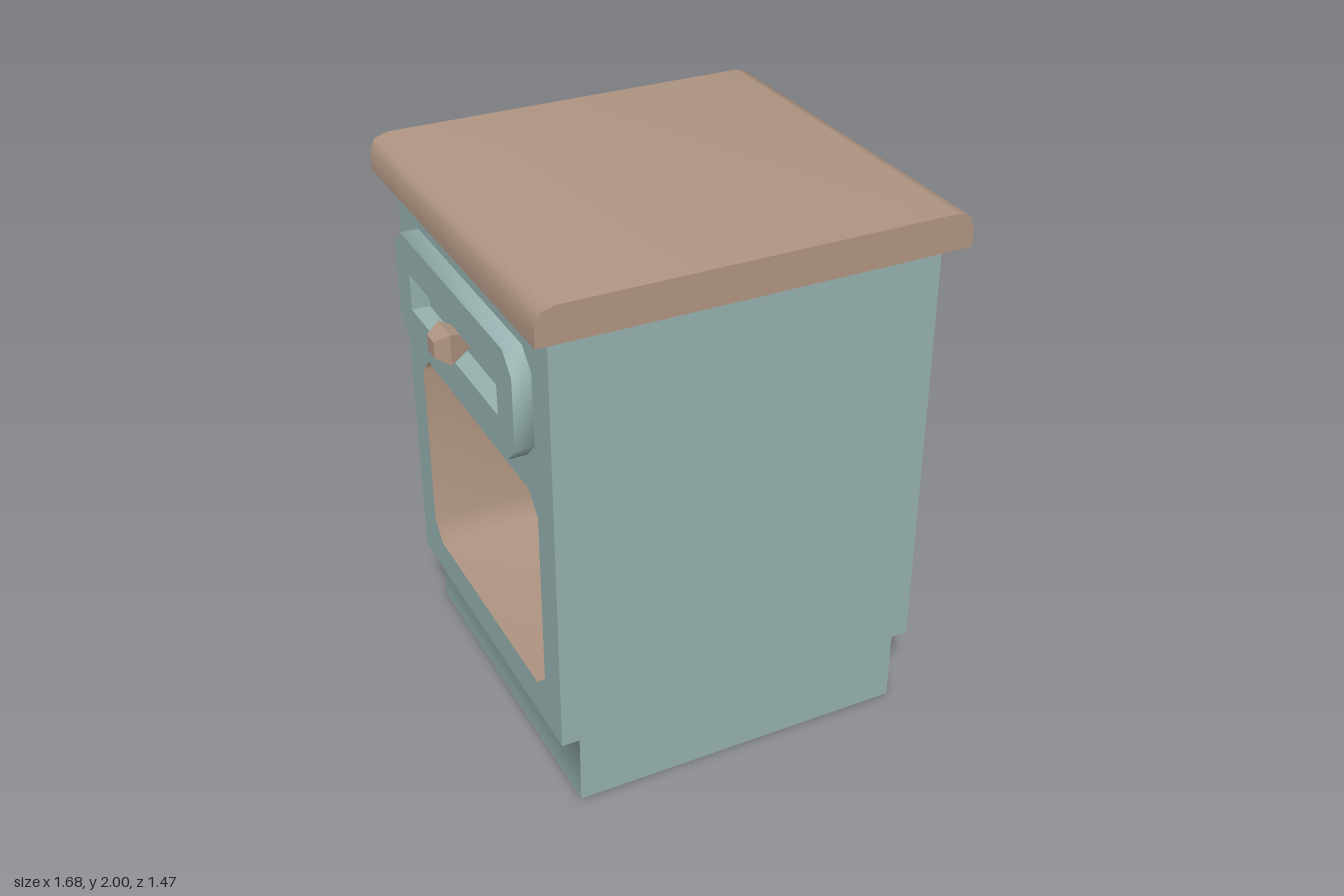
import * as THREE from 'three';
import { toCreasedNormals } from 'three/addons/utils/BufferGeometryUtils.js';

const paint = new THREE.MeshStandardMaterial({ color: 0x95b1af });
paint.name = 'sage paint';
const wood = new THREE.MeshStandardMaterial({ color: 0xb09582 });
wood.name = 'brown wood';

const HALF_X = 0.7, HALF_Z = 0.667, STEP_Y = 0.27, BODY_TOP = 1.87, BASE_X = 0.635;
const CUBBY_BACK = 0.17, DRAWER_FACE = 0.767;

const toVectors = (points) => points.map(([x, y]) => new THREE.Vector2(x, y));
const rectangle = (w, y0, y1) => [[-w, y0], [w, y0], [w, y1], [-w, y1]];

// Rectangle with cut corners, counter-clockwise
const cutRectangle = (w, y0, y1, c) => [
  [-w + c, y0], [w - c, y0], [w, y0 + c], [w, y1 - c],
  [w - c, y1], [-w + c, y1], [-w, y1 - c], [-w, y0 + c],
];

function makeShape(points, hole) {
  const shape = new THREE.Shape(toVectors(points));
  if (hole) shape.holes.push(new THREE.Path(toVectors(hole)));
  return shape;
}

function addMesh(parent, name, geometry, material, z = 0) {
  const mesh = new THREE.Mesh(geometry, material);
  mesh.name = name;
  mesh.position.z = z;
  parent.add(mesh);
  return mesh;
}

// Extrusion with smooth bends and sharp right angles
function extrude(shape, depth) {
  return toCreasedNormals(new THREE.ExtrudeGeometry(shape, { depth, bevelEnabled: false }), Math.PI / 3);
}

// Smooth strip swept along z; faces outward for z0 < z1 and inward otherwise
function ribbon(points, z0, z1, closed) {
  const positions = [], index = [], n = points.length;
  for (const [x, y] of points) positions.push(x, y, z0, x, y, z1);
  for (let i = 0; i < (closed ? n : n - 1); i++) {
    const a = 2 * i, b = 2 * ((i + 1) % n);
    index.push(a, b, b + 1, a, b + 1, a + 1);
  }
  const geometry = new THREE.BufferGeometry();
  geometry.setAttribute('position', new THREE.Float32BufferAttribute(positions, 3));
  geometry.setIndex(index);
  geometry.computeVertexNormals();
  return geometry;
}

// One drawer side, built facing +z
function makeSide(name) {
  const side = new THREE.Group();
  side.name = name;

  // Panel and open cubby
  const opening = cutRectangle(0.535, 0.4, 1.207, 0.07);
  const panel = makeShape(rectangle(HALF_Z, STEP_Y, BODY_TOP), opening);
  addMesh(side, 'sidePanel', new THREE.ShapeGeometry(panel), paint, HALF_X);
  addMesh(side, 'cubbyWalls', ribbon(opening, HALF_X, CUBBY_BACK, true), wood);
  addMesh(side, 'cubbyBack', new THREE.ShapeGeometry(makeShape(opening)), wood, CUBBY_BACK);

  // Drawer front with a recessed slot
  const drawer = makeShape(cutRectangle(0.533, 1.337, 1.738, 0.068), rectangle(0.4, 1.467, 1.605));
  addMesh(side, 'drawerFront', extrude(drawer, DRAWER_FACE - HALF_X), paint, HALF_X);

  // Square faceted knob standing in the slot
  const profile = [[0.02, 0], [0.057, 0.09], [0.03, 0.14], [0, 0.14]]
    .map(([r, h]) => new THREE.Vector2(r * Math.SQRT2, h));
  const knobGeometry = toCreasedNormals(new THREE.LatheGeometry(profile, 4, Math.PI / 4), 0.1);
  knobGeometry.rotateX(Math.PI / 2);
  addMesh(side, 'knob', knobGeometry, wood, HALF_X).position.y = 1.536;
  return side;
}

export function createModel() {
  const model = new THREE.Group();
  model.name = 'nightstand';

  // Front and back panels, stepped in at the base
  const outline = makeShape([
    [-BASE_X, 0], [BASE_X, 0], [BASE_X, STEP_Y], [HALF_X, STEP_Y],
    [HALF_X, BODY_TOP], [-HALF_X, BODY_TOP], [-HALF_X, STEP_Y], [-BASE_X, STEP_Y],
  ]);
  addMesh(model, 'frontPanel', new THREE.ShapeGeometry(outline), paint, HALF_Z);
  addMesh(model, 'backPanel', new THREE.ShapeGeometry(outline), paint, -HALF_Z).rotation.y = Math.PI;
  const floor = new THREE.PlaneGeometry(2 * BASE_X, 2 * HALF_Z).rotateX(Math.PI / 2);
  addMesh(model, 'underside', floor, paint);

  // Recessed base with a softly shaded inner corner
  const skirt = ribbon([[BASE_X, 0], [BASE_X, STEP_Y], [HALF_X, STEP_Y]], -HALF_Z, HALF_Z, false);
  const normals = skirt.attributes.normal;
  for (const i of [0, 1]) normals.setXYZ(i, 1, 0, 0);
  for (const i of [2, 3]) normals.setXYZ(i, Math.SQRT1_2, -Math.SQRT1_2, 0);
  for (const i of [4, 5]) normals.setXYZ(i, 0, -1, 0);

  // Matching left and right sides
  for (const [name, sign] of [['left', 1], ['right', -1]]) {
    const side = makeSide(name + 'Side');
    side.rotation.y = sign * Math.PI / 2;
    model.add(side);
    addMesh(model, name + 'Skirt', skirt, paint).rotation.y = sign > 0 ? 0 : Math.PI;
  }

  // Table top with rounded side edges
  const edge = [[0.767, BODY_TOP], [0.767, 1.935], [0.748, 1.983], [0.7, 2]];
  const mirrored = edge.map(([x, y]) => [-x, y]).reverse();
  addMesh(model, 'tableTop', extrude(makeShape([...edge, ...mirrored]), 1.47), wood, -0.735);
  return model;
}
